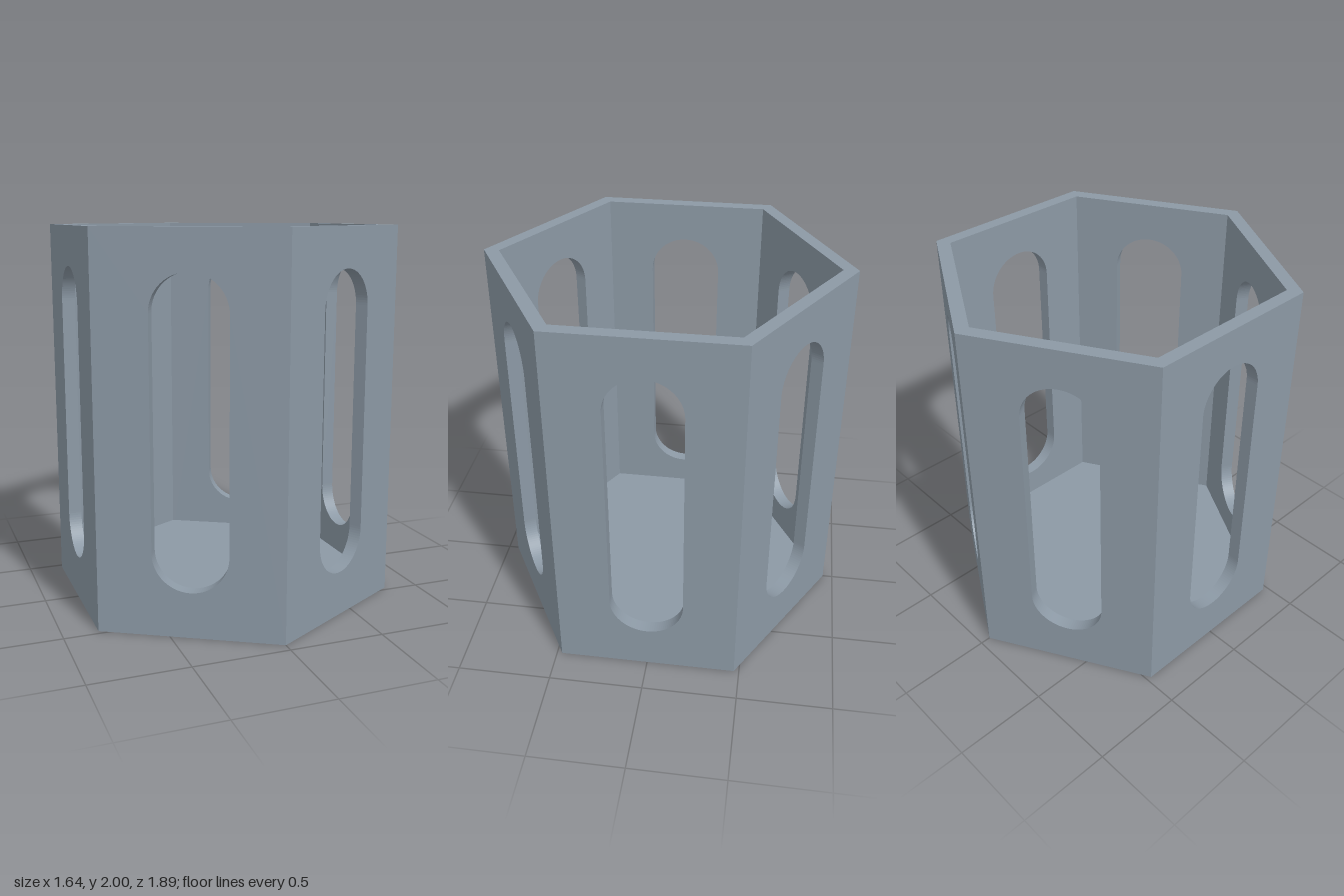
import * as THREE from 'three';

const HEIGHT = 2;
const R_OUT = 0.945;                          // hexagon corner radius, outside
const AP_OUT = R_OUT * Math.cos(Math.PI / 6); // centre to outer face
const AP_IN = 0.75;                           // centre to inner face
const R_IN = AP_IN / Math.cos(Math.PI / 6);
const FLOOR = 0.075;
const SLOT_R = 0.193, SLOT_BOTTOM = 0.235, SLOT_TOP = 1.795;

// One wall with a round-ended slot and mitred vertical edges
function wallGeometry() {
  const w = R_OUT / 2;
  const shape = new THREE.Shape();
  shape.moveTo(-w, 0);
  shape.lineTo(w, 0);
  shape.lineTo(w, HEIGHT);
  shape.lineTo(-w, HEIGHT);
  shape.closePath();

  const slot = new THREE.Path();
  slot.absarc(0, SLOT_TOP - SLOT_R, SLOT_R, 0, Math.PI, false);
  slot.absarc(0, SLOT_BOTTOM + SLOT_R, SLOT_R, Math.PI, Math.PI * 2, false);
  slot.closePath();
  shape.holes.push(slot);

  const geo = new THREE.ExtrudeGeometry(shape, {
    depth: AP_OUT - AP_IN, bevelEnabled: false, curveSegments: 24,
  });
  // Pull the inner corners in so neighbouring walls meet on a mitre
  const pos = geo.attributes.position;
  for (let i = 0; i < pos.count; i++) {
    if (Math.abs(pos.getX(i)) > w - 0.01 && pos.getZ(i) < 0.01) {
      pos.setX(i, Math.sign(pos.getX(i)) * R_IN / 2);
    }
  }
  geo.translate(0, 0, AP_IN);
  geo.computeVertexNormals();
  return geo;
}

export function createModel() {
  const group = new THREE.Group();
  group.name = 'hexagonalHolder';
  const slate = new THREE.MeshStandardMaterial({ color: 0x8c99a5 });
  slate.name = 'slate grey';

  // Six slotted walls
  const geo = wallGeometry();
  for (let i = 0; i < 6; i++) {
    const wall = new THREE.Mesh(geo, slate);
    wall.name = `slottedWall${i + 1}`;
    wall.rotation.y = Math.PI / 6 + (i * Math.PI) / 3;
    group.add(wall);
  }

  // Solid floor between the walls
  const floorGeo = new THREE.CylinderGeometry(R_IN, R_IN, FLOOR, 6).toNonIndexed();
  floorGeo.computeVertexNormals();
  const floor = new THREE.Mesh(floorGeo, slate);
  floor.name = 'floor';
  floor.position.y = FLOOR / 2;
  group.add(floor);

  return group;
}
